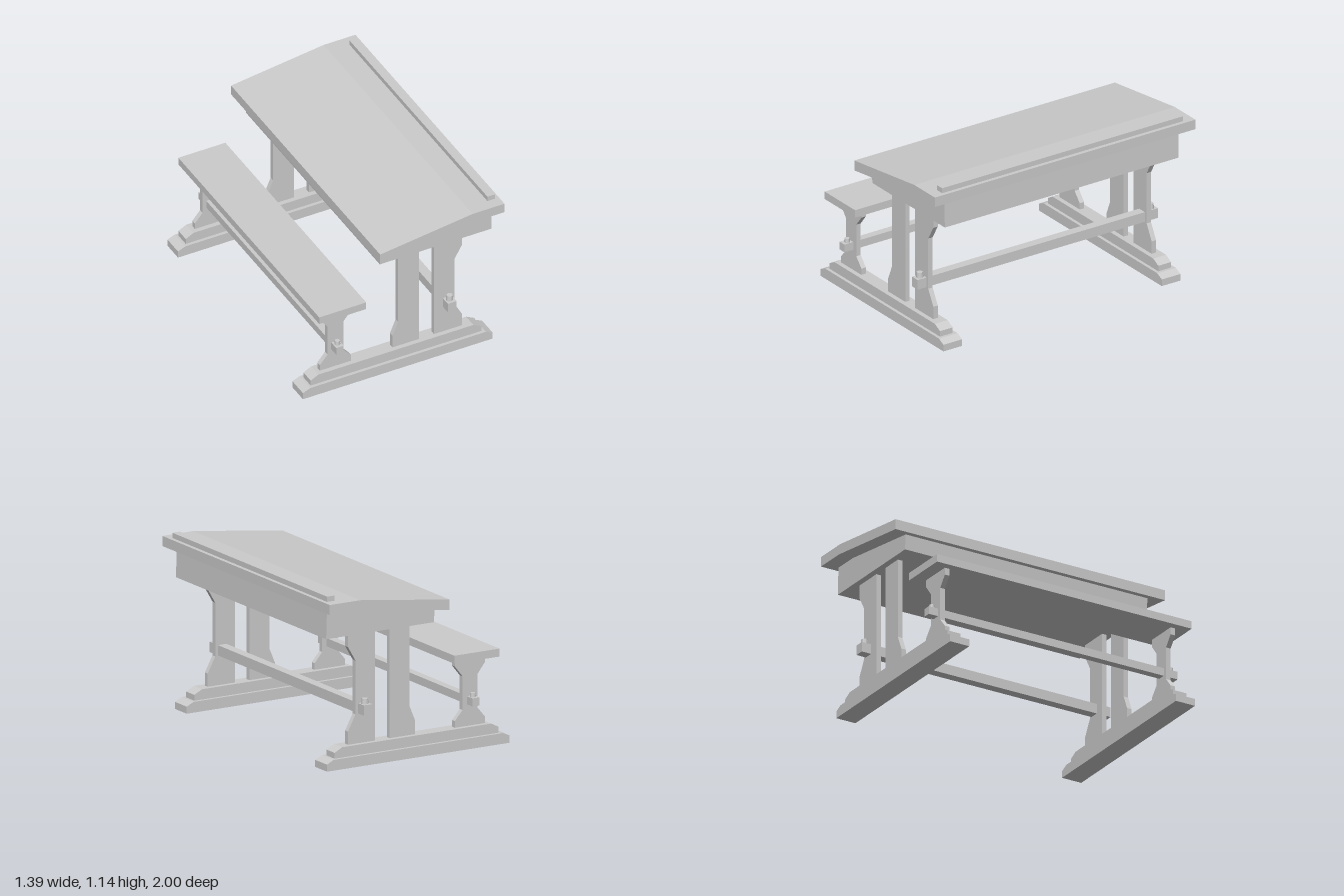
import * as THREE from 'three';

const material = new THREE.MeshStandardMaterial({ color: 0xcccccc, flatShading: true });

// Extrudes a side profile (x, y) along z, centred on the given z.
function board(name, points, depth, z = 0) {
  const shape = new THREE.Shape(points.map(([x, y]) => new THREE.Vector2(x, y)));
  const geometry = new THREE.ExtrudeGeometry(shape, { depth, bevelEnabled: false });
  geometry.translate(0, 0, z - depth / 2);
  const mesh = new THREE.Mesh(geometry, material);
  mesh.name = name;
  return mesh;
}

const rect = (x0, x1, y0, y1) => [[x0, y0], [x1, y0], [x1, y1], [x0, y1]];

function peg(name, x, y0, y1, radius, z) {
  const h = y1 - y0;
  const mesh = new THREE.Mesh(new THREE.CylinderGeometry(radius * 0.88, radius, h, 12), material);
  mesh.position.set(x, y0 + h / 2, z);
  mesh.name = name;
  return mesh;
}

// One trestle: stepped foot, bench leg, two desk legs and rail pegs.
function endFrame(name, side) {
  const group = new THREE.Group();
  group.name = name;
  const z = side * 0.838;
  const legThickness = 0.034;

  group.add(
    board('lowerFoot', [[-0.697, 0], [0.656, 0], [0.656, 0.046], [0.607, 0.07], [-0.645, 0.07], [-0.697, 0.048]], 0.142, z),
    board('upperFoot', [[-0.63, 0.07], [0.586, 0.07], [0.586, 0.108], [0.53, 0.137], [-0.575, 0.137], [-0.63, 0.108]], 0.098, z),
    board('benchLeg', [
      [-0.548, 0.137], [-0.325, 0.137], [-0.325, 0.18], [-0.381, 0.245], [-0.381, 0.465], [-0.325, 0.535],
      [-0.325, 0.583], [-0.548, 0.583], [-0.548, 0.535], [-0.493, 0.465], [-0.493, 0.245], [-0.548, 0.18],
    ], legThickness, z),
    board('rearDeskLeg', [
      [-0.03, 0.137], [0.158, 0.137], [0.158, 0.86], [0.01, 0.86], [0.01, 0.323], [-0.03, 0.227],
    ], legThickness, z),
    board('frontDeskLeg', [
      [0.266, 0.137], [0.467, 0.137], [0.467, 0.223], [0.411, 0.327], [0.411, 0.677], [0.467, 0.773],
      [0.467, 0.86], [0.266, 0.86],
    ], legThickness, z),
    peg('benchPeg', -0.4395, 0.331, 0.358, 0.019, side * 0.885),
    peg('deskPeg', 0.3605, 0.398, 0.433, 0.023, side * 0.885),
  );
  return group;
}

export function createModel() {
  const model = new THREE.Group();
  model.name = 'schoolDesk';

  model.add(endFrame('leftEndFrame', 1), endFrame('rightEndFrame', -1));

  // Long rails passing through the legs
  model.add(
    board('benchRail', rect(-0.467, -0.414, 0.278, 0.331), 1.846),
    board('deskRail', rect(0.329, 0.392, 0.331, 0.398), 1.846),
  );

  // Bench seat
  model.add(board('seat', rect(-0.6, -0.265, 0.583, 0.635), 1.89));

  // Desk box, sloping lid and pencil ledge
  model.add(
    board('deskBox', [[-0.143, 0.86], [0.655, 0.86], [0.649, 1.045], [0.48, 1.045], [-0.15, 0.961]], 1.795),
    board('deskTop', [[-0.195, 0.955], [0.48, 1.045], [0.692, 1.045], [0.692, 1.111], [0.465, 1.111], [-0.195, 1.024]], 2),
    board('pencilLedge', rect(0.61, 0.665, 1.111, 1.145), 1.85),
  );

  return model;
}
